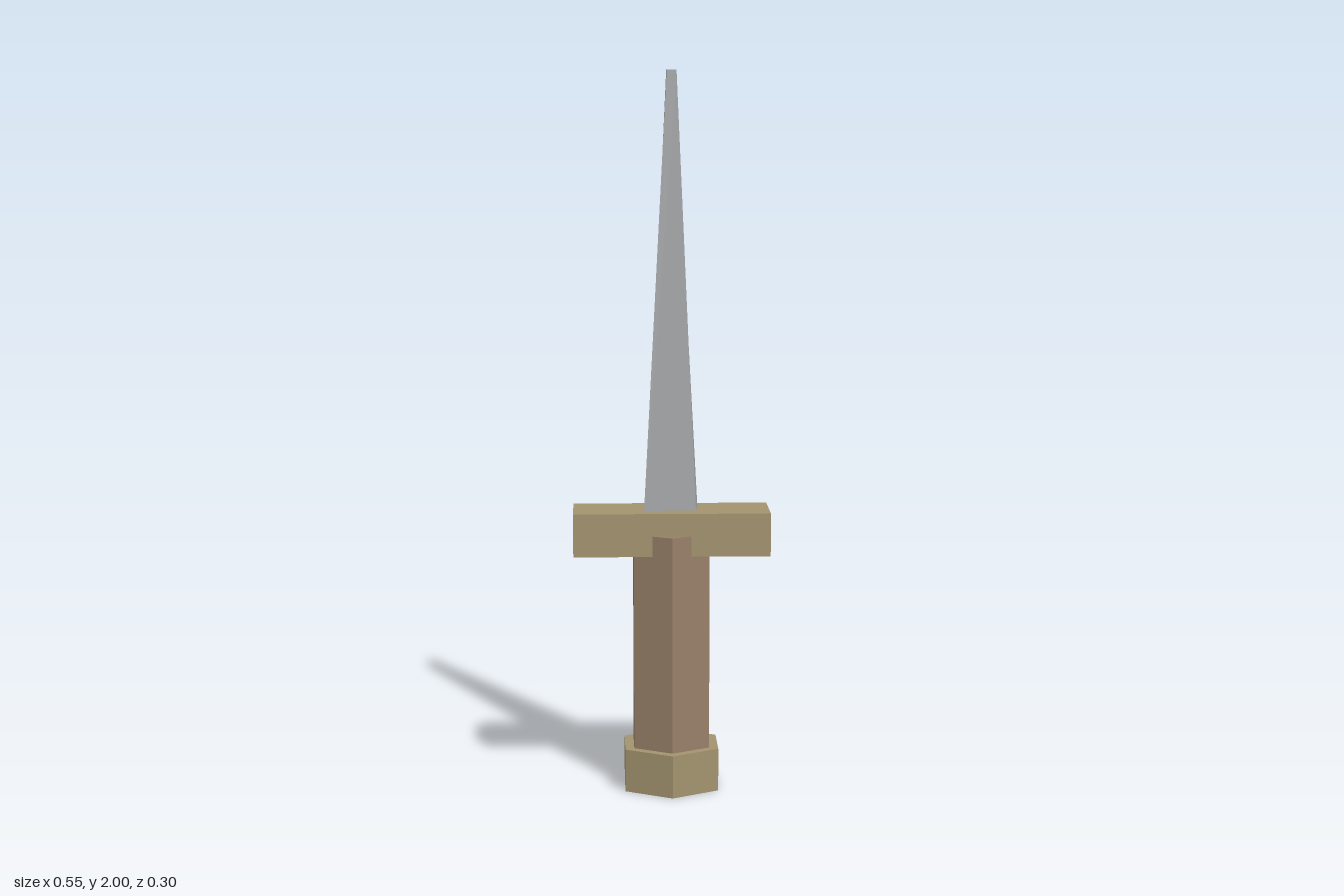
import * as THREE from 'three';

const material = (color) => new THREE.MeshStandardMaterial({ color, flatShading: true });

export function createModel() {
  const dagger = new THREE.Group();
  dagger.name = 'dagger';
  const brass = material(0xa3936f);
  const wood = material(0x978069);
  const steel = material(0xa6a8aa);

  const add = (name, geometry, mat, bottom, height) => {
    const mesh = new THREE.Mesh(geometry, mat);
    mesh.name = name;
    mesh.position.y = bottom + height / 2;
    dagger.add(mesh);
  };
  const hexPrism = (radius, height) => new THREE.CylinderGeometry(radius, radius, height, 6);

  // Hexagonal handle, corners facing front and back
  add('pommel', hexPrism(0.15, 0.12), brass, 0, 0.12);
  add('grip', hexPrism(0.121, 0.607), wood, 0.12, 0.607);

  // Crossguard, narrower in depth than the grip
  add('crossguard', new THREE.BoxGeometry(0.545, 0.12, 0.18), brass, 0.67, 0.12);

  // Tapered blade with slightly skewed corners: [x, z] in order
  // back left-hand, back right-hand, front left-hand, front right-hand
  const base = [[-0.068, -0.037], [0.075, -0.031], [-0.076, 0.037], [0.068, 0.036]];
  const tip = [[-0.012, -0.036], [0.009, -0.036], [-0.013, 0.037], [0.014, 0.029]];
  const blade = new THREE.BoxGeometry(1, 1.21, 1);
  const p = blade.attributes.position;
  for (let i = 0; i < p.count; i++) {
    const corner = (p.getX(i) > 0 ? 1 : 0) + (p.getZ(i) > 0 ? 2 : 0);
    const [x, z] = (p.getY(i) > 0 ? tip : base)[corner];
    p.setXYZ(i, x, p.getY(i), z);
  }
  blade.computeVertexNormals();
  add('blade', blade, steel, 0.79, 1.21);

  return dagger;
}
